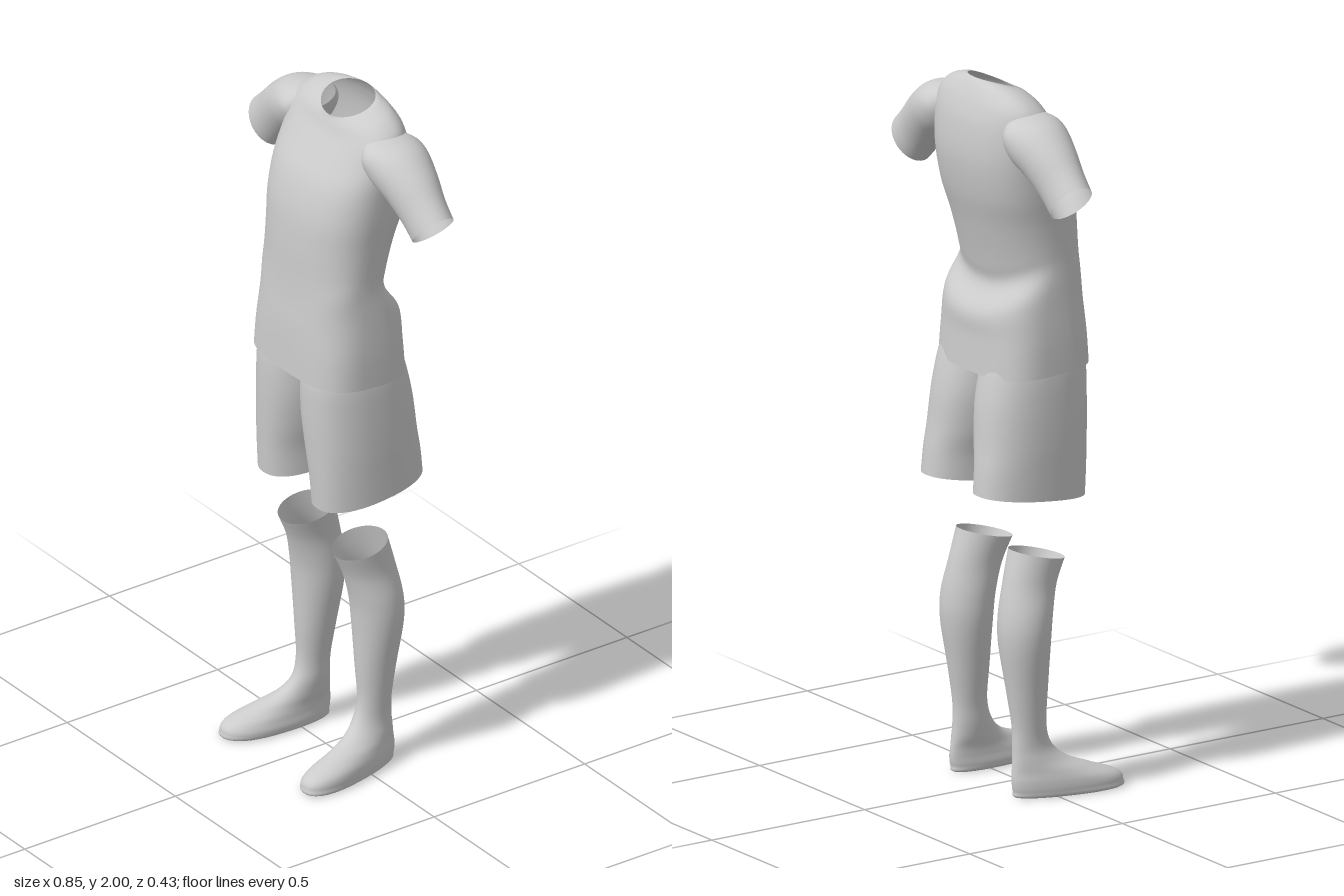
import * as THREE from 'three';

const material = new THREE.MeshStandardMaterial({ color: 0xcccccc, side: THREE.DoubleSide });

// Smooth value between rows (Catmull-Rom).
function spline(a, b, c, d, t) {
  return b + 0.5 * t * (c - a + t * (2 * a - 5 * b + 4 * c - d + t * (3 * (b - c) + d - a)));
}

// Closed tube through cross-sections listed from bottom to top. Each row is
// [centreX, halfWidth, zFront, zBack, yFront, yBack, sideLift, roundness, frontShift, frontWiden]
function loft(rows, steps = 6, sides = 56) {
  const positions = [], index = [];
  const last = rows.length - 1, rings = last * steps;
  for (let i = 0; i <= rings; i++) {
    const k = Math.min(Math.floor(i / steps), last - 1), t = i / steps - k;
    const row = (n) => rows[Math.min(Math.max(n, 0), last)];
    const [cx, hw, zF, zB, yF, yB, lift, round, shift, widen] = Array.from({ length: 10 }, (_, p) =>
      spline(row(k - 1)[p] ?? 0, row(k)[p] ?? 0, row(k + 1)[p] ?? 0, row(k + 2)[p] ?? 0, t));
    for (let j = 0; j < sides; j++) {
      const a = (j / sides) * Math.PI * 2;
      const bend = (v) => Math.sign(v) * Math.pow(Math.abs(v), 2 / round);
      const c = bend(Math.cos(a)), s = bend(Math.sin(a)), f = (s + 1) / 2;
      positions.push(
        cx + hw * c * (1 + widen * s) + shift * f,
        Math.max(0, yB + (yF - yB) * f + lift * c * c),
        zB + (zF - zB) * f);
      if (i < rings) {
        const p = i * sides + j, q = i * sides + (j + 1) % sides;
        index.push(p, p + sides, q, q, p + sides, q + sides);
      }
    }
  }
  const geometry = new THREE.BufferGeometry();
  geometry.setAttribute('position', new THREE.Float32BufferAttribute(positions, 3));
  geometry.setIndex(index);
  geometry.computeVertexNormals();
  return geometry;
}

// Mirrored copy with its winding put right again.
function mirror(geometry) {
  const copy = geometry.clone().scale(-1, 1, 1);
  copy.setIndex(Array.from(geometry.index.array).reverse());
  copy.computeVertexNormals();
  return copy;
}

export function createModel() {
  const model = new THREE.Group();
  model.name = 'sportsOutfit';

  function add(name, geometry, x = 0) {
    const mesh = new THREE.Mesh(geometry, material);
    mesh.name = name;
    mesh.position.x = x;
    model.add(mesh);
  }
  function addPair(name, geometry, x = 0) {
    add('left' + name, geometry, x);
    add('right' + name, mirror(geometry), x);
  }

  // Shirt body from hem to tilted neckline, hollow at the lower back
  add('shirtBody', loft([
    [0, 0.215, 0.145, -0.17, 1.205, 1.185, 0, 3.2],
    [0, 0.212, 0.143, -0.166, 1.28, 1.28, 0.01, 3],
    [0, 0.204, 0.14, -0.163, 1.35, 1.35, 0.05, 2.7],
    [0, 0.198, 0.134, -0.117, 1.42, 1.42, 0.06, 2.5],
    [0, 0.197, 0.13, -0.125, 1.49, 1.48, 0.05, 2.4],
    [0, 0.2, 0.126, -0.152, 1.59, 1.59, 0.02, 2.4],
    [0, 0.207, 0.116, -0.18, 1.69, 1.69, 0, 2.5],
    [0, 0.212, 0.09, -0.194, 1.78, 1.79, 0, 2.5],
    [0, 0.214, 0.048, -0.188, 1.855, 1.88, 0, 2.4],
    [0, 0.206, 0.02, -0.172, 1.902, 1.938, 0.008, 2.3],
    [0.003, 0.165, 0.007, -0.154, 1.932, 1.975, 0.01, 2.2],
    [0.006, 0.115, 0.001, -0.141, 1.947, 1.994, 0.01, 2],
    [0.01, 0.086, 0, -0.134, 1.952, 2, 0.006, 2],
  ]));

  // Short sleeves: lofted along their own axis, then swung outwards
  const sleeve = loft([
    [0, 0.073, -0.025, -0.143, 0, 0, 0, 2],
    [0.002, 0.073, -0.02, -0.147, 0.06, 0.06, 0, 2],
    [0.002, 0.077, -0.008, -0.16, 0.13, 0.13, 0, 2],
    [-0.008, 0.08, 0.006, -0.173, 0.2, 0.2, 0, 2],
    [-0.013, 0.062, 0.008, -0.17, 0.25, 0.25, 0, 2],
    [-0.015, 0.035, -0.015, -0.14, 0.29, 0.29, 0, 2],
  ]);
  sleeve.rotateZ(THREE.MathUtils.degToRad(48)).translate(0.378, 1.73, 0);
  addPair('Sleeve', sleeve);

  // Shorts: two wide legs meeting at the crotch
  addPair('ShortsLeg', loft([
    [0.124, 0.095, 0.122, -0.21, 0.825, 0.862, 0, 2.3],
    [0.121, 0.098, 0.127, -0.204, 0.91, 0.93, 0, 2.3],
    [0.112, 0.107, 0.132, -0.195, 1.0, 1.0, 0, 2.3],
    [0.103, 0.113, 0.136, -0.185, 1.1, 1.1, 0, 2.3],
    [0.1, 0.11, 0.135, -0.168, 1.195, 1.185, 0, 2.3],
    [0.098, 0.1, 0.125, -0.15, 1.25, 1.25, 0, 2.3],
  ]), 0.005);

  // Long socks: sole, splayed foot, ankle, calf and slanted open top
  addPair('Sock', loft([
    [0.16, 0.001, 0.03, 0.02, 0, 0, 0, 2],
    [0.148, 0.048, 0.195, -0.095, 0, 0, 0, 2.3, 0.04, 0.22],
    [0.148, 0.056, 0.213, -0.108, 0.02, 0.018, 0, 2.3, 0.04, 0.22],
    [0.148, 0.053, 0.195, -0.112, 0.045, 0.045, 0, 2.2, 0.04, 0.18],
    [0.146, 0.046, 0.125, -0.111, 0.072, 0.07, 0, 2, 0.03, 0.1],
    [0.144, 0.041, 0.055, -0.108, 0.1, 0.1, 0, 2, 0.012],
    [0.142, 0.038, 0.013, -0.105, 0.14, 0.14, 0, 2],
    [0.141, 0.04, -0.004, -0.105, 0.2, 0.2, 0, 2],
    [0.139, 0.053, -0.001, -0.119, 0.3, 0.3, 0, 2],
    [0.138, 0.073, 0.004, -0.138, 0.43, 0.43, 0, 2],
    [0.136, 0.075, 0.012, -0.137, 0.51, 0.51, 0, 2],
    [0.129, 0.067, 0.032, -0.12, 0.59, 0.6, 0, 2],
    [0.124, 0.073, 0.06, -0.096, 0.655, 0.69, 0, 2],
  ]), 0.007);

  return model;
}
